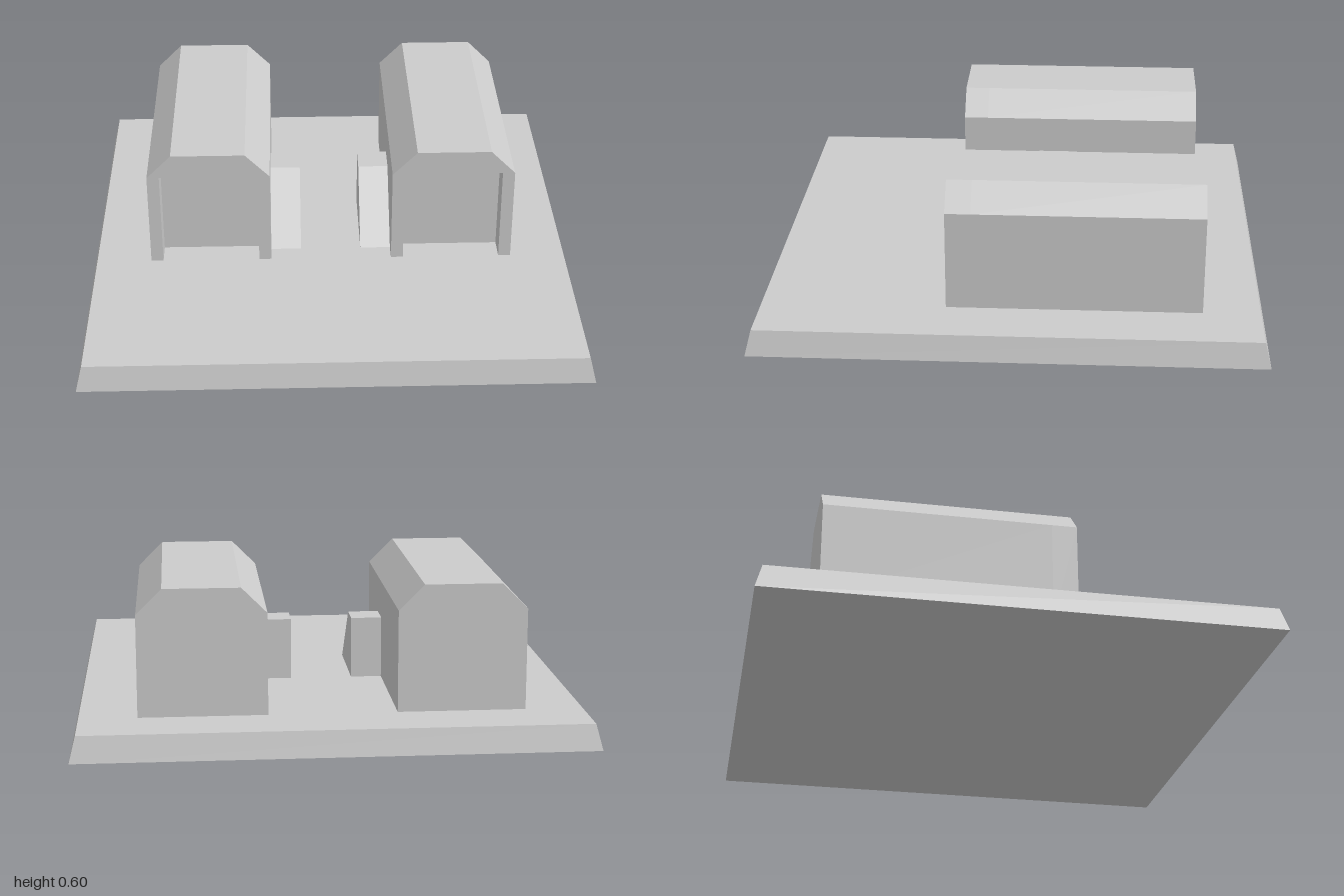
import * as THREE from 'three';

const material = new THREE.MeshStandardMaterial({ color: 0xcccccc, flatShading: true });

const BASE_TOP = 0.1;

function addMesh(parent, name, geometry) {
  const mesh = new THREE.Mesh(geometry, material);
  mesh.name = name;
  parent.add(mesh);
  return mesh;
}

function shapeFrom(points) {
  return new THREE.Shape(points.map(([x, y]) => new THREE.Vector2(x, y)));
}

// Extrudes a front-facing outline from zBack to zFront
function extrudeZ(points, zBack, zFront) {
  const geometry = new THREE.ExtrudeGeometry(shapeFrom(points), { depth: zFront - zBack, bevelEnabled: false });
  return geometry.translate(0, 0, zBack);
}

// Chamfered hall with a recessed doorway in its front
function createHangar() {
  const hangar = new THREE.Group();
  const roof = [[0.25, 0.4], [0.15, 0.5], [-0.15, 0.5], [-0.25, 0.4]];
  const outline = [[-0.25, 0], [0.25, 0], ...roof];
  const doorway = [[-0.25, 0], [-0.2, 0], [-0.2, 0.4], [0.2, 0.4], [0.2, 0], [0.25, 0], ...roof];
  addMesh(hangar, 'hangarBody', extrudeZ(outline, -0.75, 0.15));
  addMesh(hangar, 'doorFrame', extrudeZ(doorway, 0.15, 0.25));
  return hangar;
}

// Block with a sloped front; the profile is drawn in z and y
function createRampGeometry(width) {
  const profile = [[-0.175, 0], [0.075, 0.25], [0.2, 0.25], [0.2, 0]].reverse();
  const geometry = new THREE.ExtrudeGeometry(shapeFrom(profile), { depth: width, bevelEnabled: false });
  return geometry.translate(0, 0, -width / 2).rotateY(Math.PI / 2);
}

export function createModel() {
  const model = new THREE.Group();
  model.name = 'hangarPad';

  // Square slab with sloping sides
  const slab = new THREE.CylinderGeometry(0.975 * Math.SQRT2, Math.SQRT2, BASE_TOP, 4, 1);
  slab.rotateY(Math.PI / 4).translate(0, BASE_TOP / 2, 0);
  addMesh(model, 'baseSlab', slab);

  // A hangar and its inner ramp on each side
  for (const [side, label] of [[1, 'left'], [-1, 'right']]) {
    const hangar = createHangar();
    hangar.name = `${label}Hangar`;
    hangar.position.set(side * 0.5, BASE_TOP, 0);
    model.add(hangar);

    const ramp = addMesh(model, `${label}Ramp`, createRampGeometry(0.125));
    ramp.position.set(side * 0.1875, BASE_TOP, 0);
  }

  return model;
}
